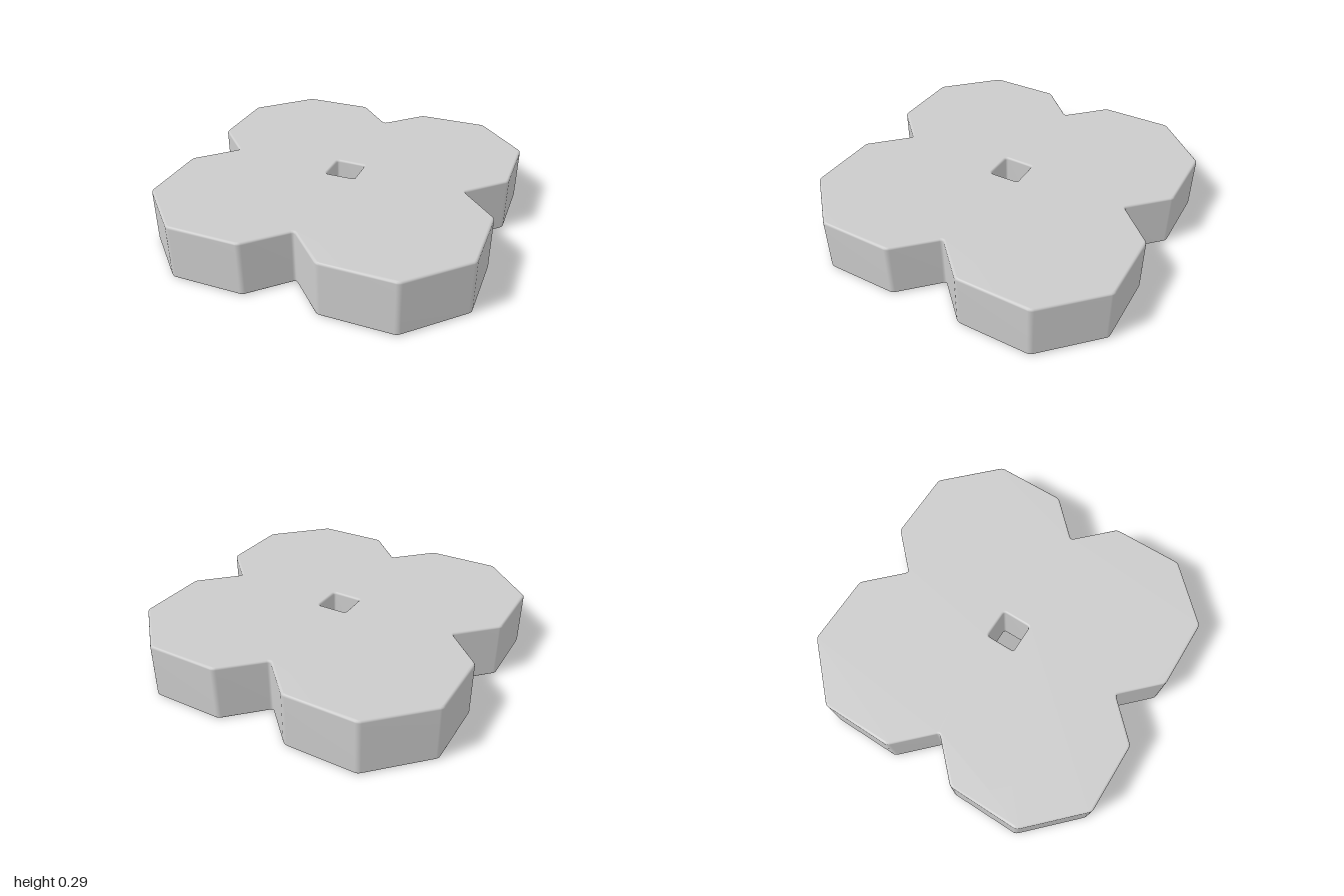
import * as THREE from 'three';
import { mergeVertices } from 'three/addons/utils/BufferGeometryUtils.js';

const HEIGHT = 0.293;
const BEVEL = 0.012;

// Repeats one quarter of an outline four times around the centre
function fourfold(quarter) {
  const points = [];
  for (let i = 0; i < 4; i++) {
    for (const [x, y] of quarter) {
      points.push(new THREE.Vector2(x, y).rotateAround(new THREE.Vector2(), i * Math.PI / 2));
    }
  }
  return points;
}

// Traces a closed polygon with small rounded corners
function traceRounded(path, points, cut) {
  const n = points.length;
  points.forEach((p, i) => {
    const prev = points[(i + n - 1) % n], next = points[(i + 1) % n];
    const a = p.clone().add(prev.clone().sub(p).setLength(cut));
    const b = p.clone().add(next.clone().sub(p).setLength(cut));
    if (i === 0) path.moveTo(a.x, a.y);
    else path.lineTo(a.x, a.y);
    path.quadraticCurveTo(p.x, p.y, b.x, b.y);
  });
  return path;
}

export function createModel() {
  const group = new THREE.Group();
  group.name = 'fourLobedPlate';

  // Cross of four chamfered lobes with a diamond hole in the middle
  const lobe = [[0.73, -0.46], [1, -0.19], [1, 0.19], [0.73, 0.46], [0.46, 0.46]];
  const shape = traceRounded(new THREE.Shape(), fourfold(lobe), 0.016);
  shape.holes.push(traceRounded(new THREE.Path(), fourfold([[0.113, 0]]), 0.014));

  let geometry = new THREE.ExtrudeGeometry(shape, {
    depth: HEIGHT - 2 * BEVEL,
    curveSegments: 3,
    bevelEnabled: true,
    bevelThickness: BEVEL,
    bevelSize: BEVEL,
    bevelOffset: -BEVEL,
    bevelSegments: 3,
  });
  geometry.translate(0, 0, BEVEL);
  geometry.rotateX(-Math.PI / 2);

  // Shared, area-weighted normals keep the faces flat and the bevels soft
  geometry.deleteAttribute('normal');
  geometry.deleteAttribute('uv');
  geometry = mergeVertices(geometry, 1e-4);
  geometry.computeVertexNormals();

  const plate = new THREE.Mesh(geometry, new THREE.MeshStandardMaterial({ color: 0xcccccc }));
  plate.name = 'plate';
  group.add(plate);
  return group;
}
